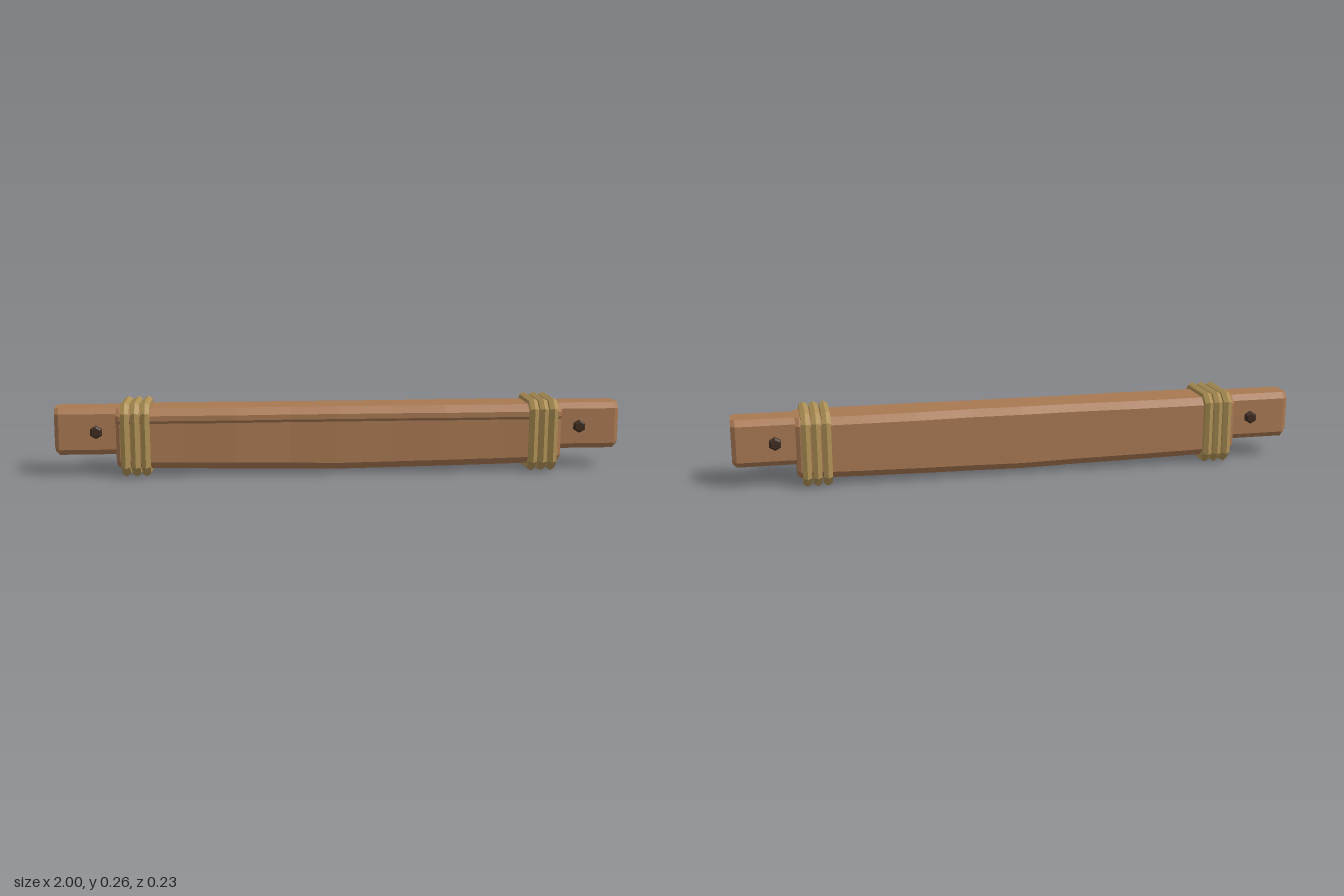
import * as THREE from 'three';

const wood = new THREE.MeshStandardMaterial({ color: 0xa87852, flatShading: true });
wood.name = 'wood';
const rope = new THREE.MeshStandardMaterial({ color: 0xae9055, flatShading: true });
rope.name = 'rope';
const darkPeg = new THREE.MeshStandardMaterial({ color: 0x3f2c20, flatShading: true });
darkPeg.name = 'dark peg';

// Skin a row of equal rings of [x, y, z]; either capped or joined end to end
function loft(rings, closed) {
  const pos = [];
  const tri = (a, b, c) => pos.push(...a, ...b, ...c);
  const n = rings[0].length;
  const last = closed ? rings.length : rings.length - 1;
  for (let k = 0; k < last; k++) {
    const a = rings[k], b = rings[(k + 1) % rings.length];
    for (let i = 0; i < n; i++) {
      const j = (i + 1) % n;
      tri(a[i], a[j], b[i]);
      tri(a[j], b[j], b[i]);
    }
  }
  if (!closed) {
    const centre = (r) => [0, 1, 2].map((c) => r.reduce((s, p) => s + p[c], 0) / n);
    const first = rings[0], end = rings[rings.length - 1];
    const c0 = centre(first), c1 = centre(end);
    for (let i = 0; i < n; i++) {
      const j = (i + 1) % n;
      tri(c0, first[j], first[i]);
      tri(c1, end[i], end[j]);
    }
  }
  const g = new THREE.BufferGeometry();
  g.setAttribute('position', new THREE.Float32BufferAttribute(pos, 3));
  g.computeVertexNormals();
  return g;
}

// Chamfered beam section with a shallow ledge along the upper front edge
function beamRing(x, bottom, front, back, ledge, inset) {
  const f = front - inset, b = back + inset, y0 = bottom + inset, l = ledge - inset;
  return [
    [0.24, b + 0.022], [0.24, l - 0.024], [0.216, l], [0.198, l], [0.188, f],
    [y0 + 0.025, f], [y0, f - 0.022], [y0, b + 0.022], [y0 + 0.025, b], [0.216, b],
  ].map(([y, z]) => [x, y, z]);
}

// Chamfered tenon section
function tenonRing(x, inset) {
  const f = 0.056 - inset, b = -0.068 + inset, y0 = 0.074 + inset;
  return [
    [0.24, b + 0.019], [0.24, f - 0.019], [0.22, f], [y0 + 0.02, f],
    [y0, f - 0.019], [y0, b + 0.019], [y0 + 0.02, b], [0.22, b],
  ].map(([y, z]) => [x, y, z]);
}

// One hexagonal strand swept with mitred corners around the beam
function strandGeometry(x, r) {
  const path = [
    [-0.075, 0.245], [0.074, 0.245], [0.098, 0.222], [0.09, 0.042],
    [0.064, 0.0175], [-0.073, 0.0175], [-0.097, 0.042], [-0.097, 0.222],
  ].map(([z, y]) => new THREE.Vector2(z, y));
  const n = path.length;
  const rings = path.map((p, i) => {
    const d0 = p.clone().sub(path[(i + n - 1) % n]).normalize();
    const d1 = path[(i + 1) % n].clone().sub(p).normalize();
    const n0 = new THREE.Vector2(-d0.y, d0.x), n1 = new THREE.Vector2(-d1.y, d1.x);
    const m = n0.clone().add(n1);
    m.multiplyScalar(2 / m.lengthSq());
    return Array.from({ length: 6 }, (_, k) => {
      const a = (k * Math.PI) / 3, out = r * Math.cos(a);
      return [x - r * Math.sin(a), p.y + m.y * out, p.x + m.x * out];
    });
  });
  return loft(rings, true);
}

export function createModel() {
  const model = new THREE.Group();
  const add = (name, geometry, material) => {
    const mesh = new THREE.Mesh(geometry, material);
    mesh.name = name;
    model.add(mesh);
    return mesh;
  };

  // Hand-hewn main beam: x, bottom, front, back, ledge, end inset
  const stations = [
    [-0.785, 0.029, 0.083, -0.09, 0.092, 0.008], [-0.772, 0.029, 0.084, -0.091, 0.092, 0],
    [-0.56, 0.025, 0.083, -0.092, 0.09, 0], [-0.37, 0.022, 0.086, -0.091, 0.093, 0],
    [-0.18, 0.018, 0.08, -0.085, 0.087, 0], [0, 0.015, 0.082, -0.088, 0.089, 0],
    [0.18, 0.017, 0.079, -0.085, 0.087, 0], [0.37, 0.021, 0.085, -0.092, 0.093, 0],
    [0.56, 0.024, 0.082, -0.092, 0.09, 0], [0.772, 0.029, 0.084, -0.091, 0.092, 0],
    [0.785, 0.029, 0.083, -0.09, 0.092, 0.008],
  ];
  add('mainBeam', loft(stations.map((s) => beamRing(...s)), false), wood);

  for (const [side, s] of [['left', 1], ['right', -1]]) {
    // Tenon with bevelled end
    const rings = [tenonRing(s * 0.76, 0), tenonRing(s * 0.985, 0), tenonRing(s, 0.011)];
    add(side + 'Tenon', loft(s > 0 ? rings : rings.reverse(), false), wood);

    // Hexagonal peg through the tenon, with bevelled heads
    const profile = [[0, -0.079], [0.016, -0.079], [0.023, -0.072],
      [0.023, 0.072], [0.016, 0.079], [0, 0.079]].map(([r, h]) => new THREE.Vector2(r, h));
    const peg = add(side + 'Peg', new THREE.LatheGeometry(profile, 6), darkPeg);
    peg.rotation.x = Math.PI / 2;
    peg.position.set(s * 0.855, 0.157, -0.006);

    // Three rope turns
    for (let i = 0; i < 3; i++) {
      add(side + 'RopeTurn' + (i + 1), strandGeometry(s * (0.682 + i * 0.035), 0.0175), rope);
    }
  }
  return model;
}
